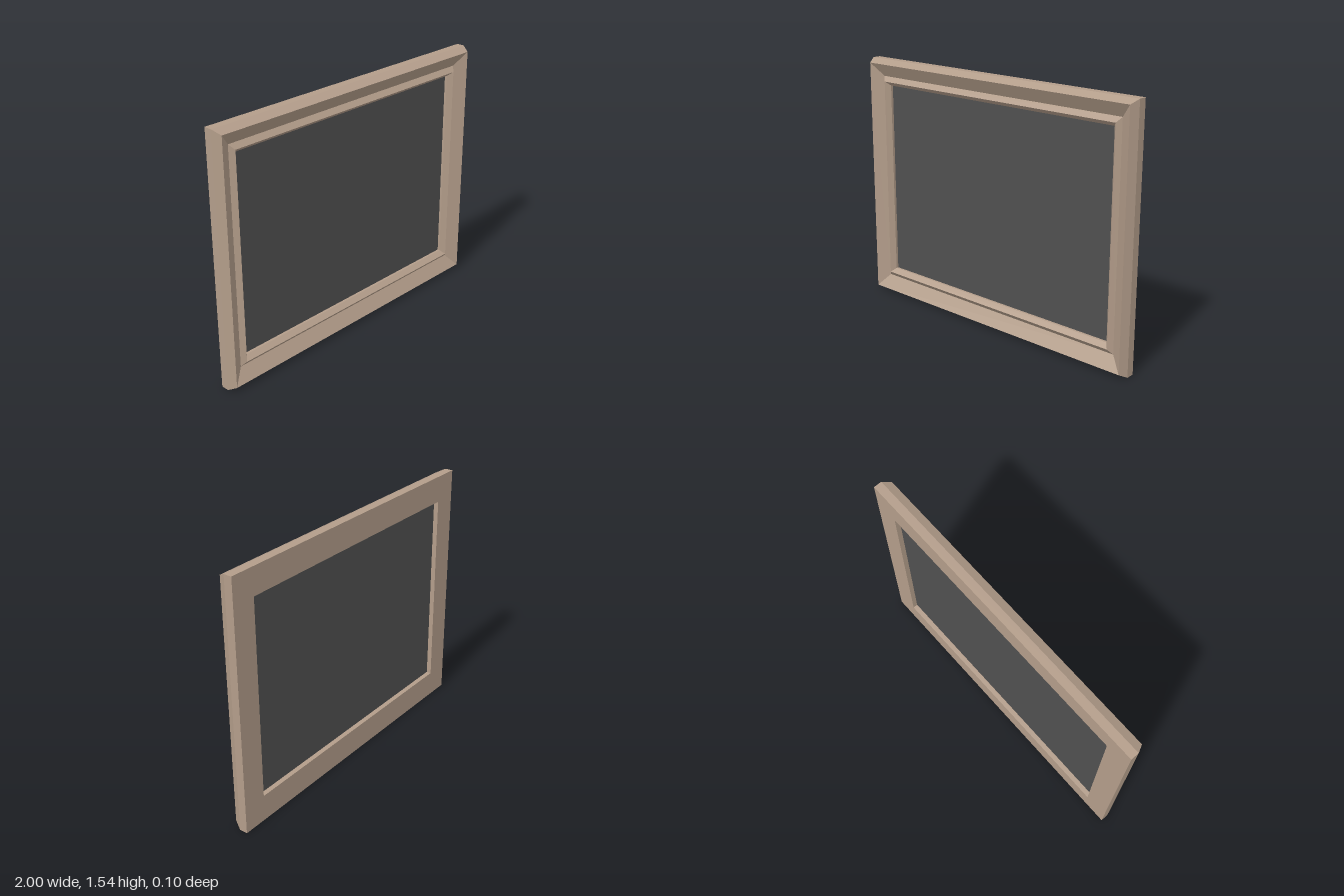
import * as THREE from 'three';

const HALF_W = 1, HALF_H = 0.77;

// Moulding cross-section: [inset in x, inset in y, z], from the outer back edge round to the inner back edge
const PROFILE = [
  [0, 0, -0.05],
  [0, 0, 0],
  [0.024, 0.026, 0.05],
  [0.099, 0.107, 0],
  [0.125, 0.137, 0.025],
  [0.15, 0.162, -0.005],
  [0.15, 0.162, -0.05],
];

// Corners counter-clockwise seen from the front
const CORNERS = [[1, -1], [1, 1], [-1, 1], [-1, -1]];
const RAILS = ['leftRail', 'topRail', 'rightRail', 'bottomRail'];

function cornerPoint([sx, sy], [ix, iy, z]) {
  return [sx * (HALF_W - ix), HALF_H + sy * (HALF_H - iy), z];
}

// One mitred rail: the cross-section swept from one corner to the next
function railGeometry(from, to) {
  const positions = [];
  PROFILE.forEach((p, i) => {
    const q = PROFILE[(i + 1) % PROFILE.length];
    const a = cornerPoint(from, p), b = cornerPoint(to, p);
    const c = cornerPoint(to, q), d = cornerPoint(from, q);
    positions.push(...a, ...b, ...c, ...a, ...c, ...d);
  });
  const geometry = new THREE.BufferGeometry();
  geometry.setAttribute('position', new THREE.Float32BufferAttribute(positions, 3));
  geometry.computeVertexNormals();
  return geometry;
}

export function createModel() {
  const model = new THREE.Group();
  model.name = 'pictureFrame';

  const wood = new THREE.MeshStandardMaterial({ color: 0xb39d8a, flatShading: true });
  const dark = new THREE.MeshStandardMaterial({ color: 0x505050, side: THREE.DoubleSide });

  // Four mitred rails
  const frame = new THREE.Group();
  frame.name = 'frame';
  RAILS.forEach((name, i) => {
    const rail = new THREE.Mesh(railGeometry(CORNERS[i], CORNERS[(i + 1) % 4]), wood);
    rail.name = name;
    frame.add(rail);
  });
  model.add(frame);

  // Flat picture panel set into the opening
  const [ix, iy] = PROFILE[PROFILE.length - 1];
  const panel = new THREE.Mesh(new THREE.PlaneGeometry(2 * (HALF_W - ix), 2 * (HALF_H - iy)), dark);
  panel.name = 'picturePanel';
  panel.position.set(0, HALF_H, -0.02);
  model.add(panel);

  return model;
}
